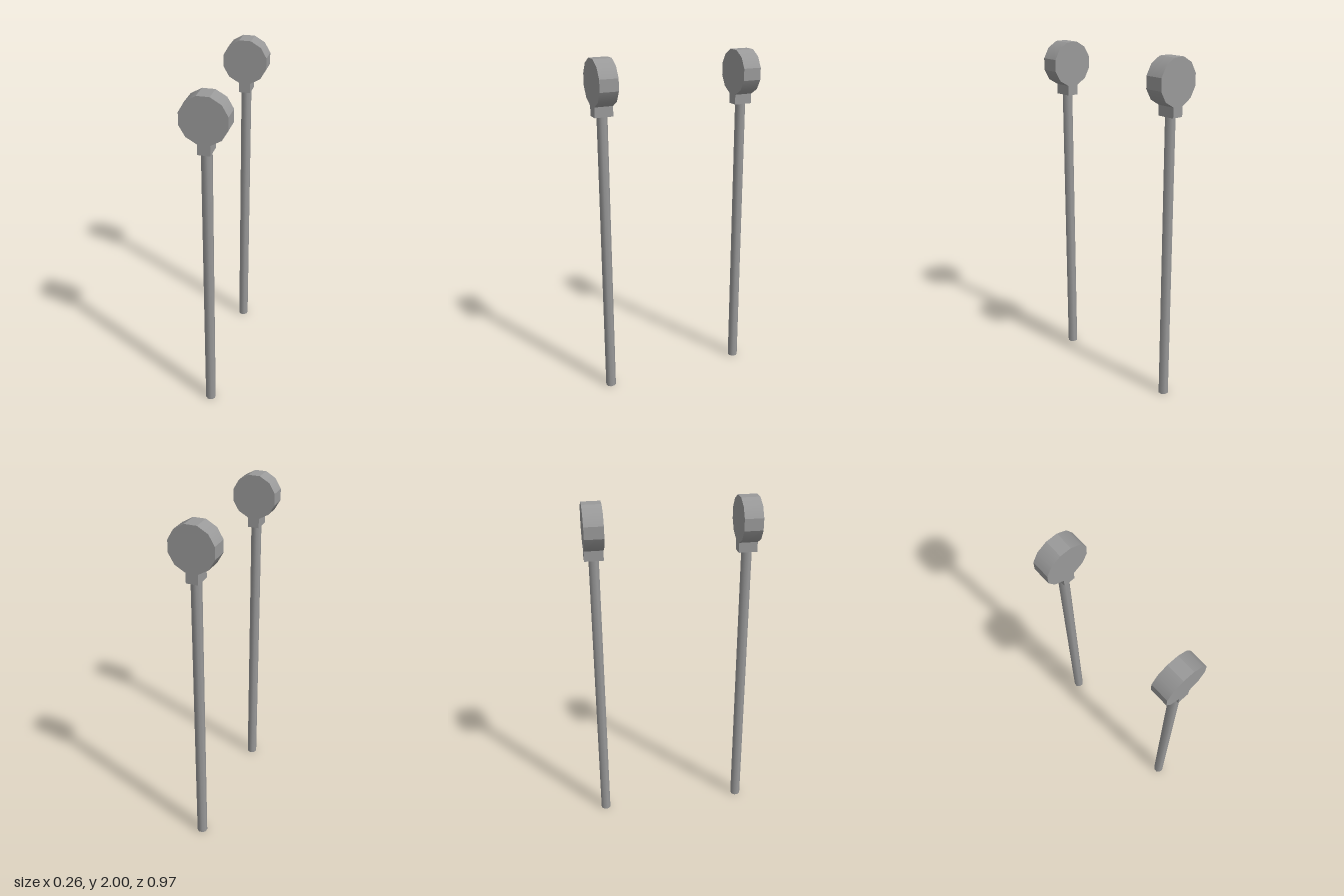
import * as THREE from 'three';

const material = new THREE.MeshStandardMaterial({ color: 0x999999, side: THREE.DoubleSide });
const DEPTH = 0.108;

function part(name, geometry, y) {
  const mesh = new THREE.Mesh(geometry, material);
  mesh.name = name;
  mesh.position.y = y;
  return mesh;
}

// Twelve-sided disc: flat at top, bottom and sides, softened at the four diagonals
function discGeometry(radius) {
  const outline = Array.from({ length: 12 }, (_, i) => {
    const angle = ((i + 0.5) * Math.PI) / 6;
    return new THREE.Vector2(radius * Math.cos(angle), radius * Math.sin(angle));
  });
  const disc = new THREE.ExtrudeGeometry(new THREE.Shape(outline), { depth: DEPTH, bevelEnabled: false });
  disc.translate(0, 0, -DEPTH / 2);
  const { position, normal } = disc.attributes;
  for (let i = 0; i < position.count; i++) {
    const x = position.getX(i), y = position.getY(i);
    const onRim = Math.abs(normal.getZ(i)) < 0.5;
    if (onRim && Math.abs(Math.abs(x) - Math.abs(y)) < 0.001) {
      normal.setXYZ(i, Math.sign(x) * Math.SQRT1_2, Math.sign(y) * Math.SQRT1_2, 0);
    }
  }
  return disc;
}

// One post: slim hollow pole, square neck and a disc head
function createPost(name) {
  const post = new THREE.Group();
  post.name = name;

  const pole = new THREE.CylinderGeometry(0.03, 0.03, 1.69, 8, 1, true);
  pole.rotateY(Math.PI / 8);
  post.add(part('pole', pole, 0.845));
  post.add(part('neck', new THREE.BoxGeometry(0.068, 0.08, DEPTH - 0.001), 1.727));
  post.add(part('discHead', discGeometry(0.132), 1.8725));
  return post;
}

export function createModel() {
  const model = new THREE.Group();
  model.name = 'pairOfPosts';
  for (const [name, z] of [['frontPost', 0.432], ['backPost', -0.432]]) {
    const post = createPost(name);
    post.position.z = z;
    model.add(post);
  }
  return model;
}
